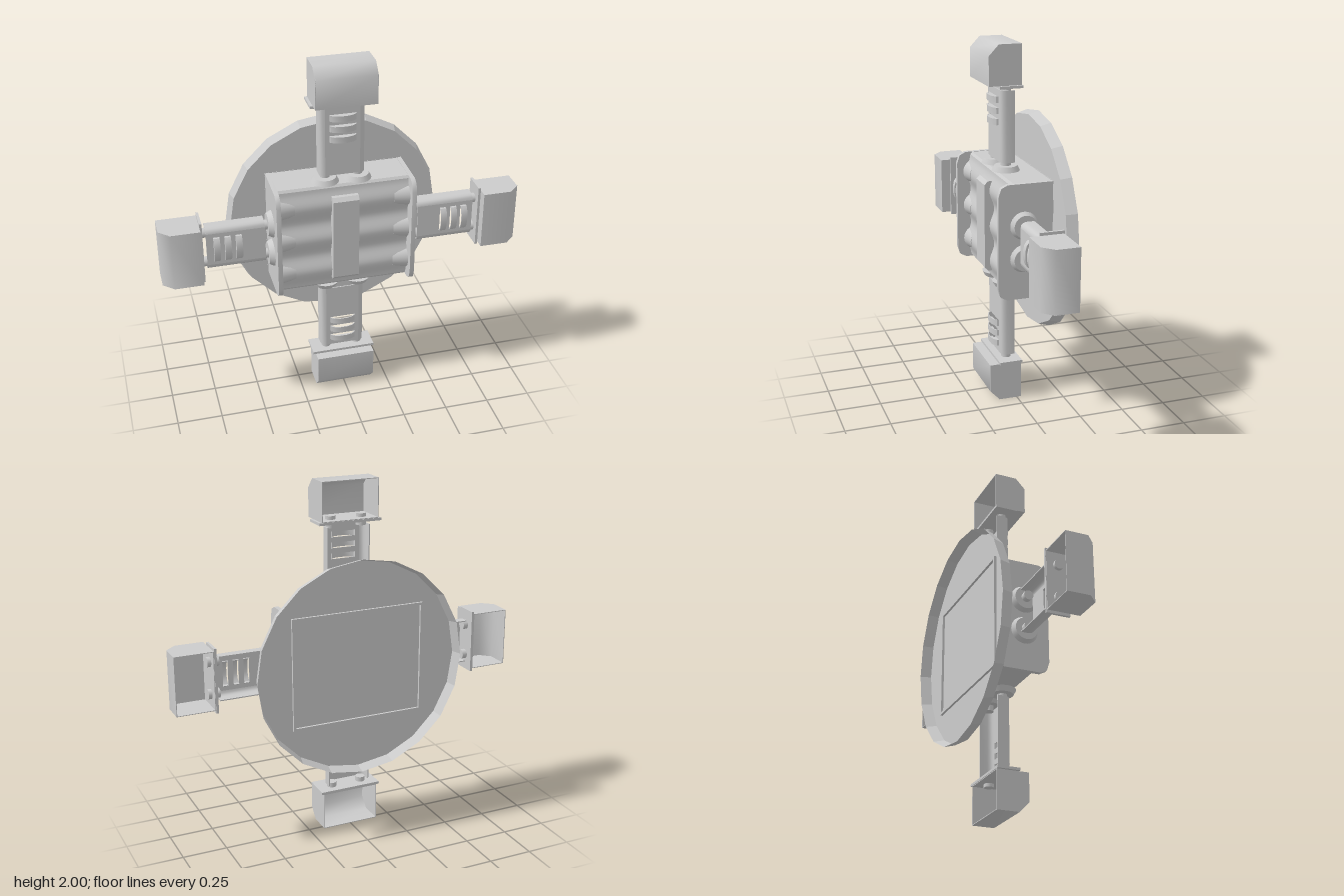
import * as THREE from 'three';
import { toCreasedNormals } from 'three/addons/utils/BufferGeometryUtils.js';

const material = new THREE.MeshStandardMaterial({ color: 0xcccccc, side: THREE.DoubleSide });

function add(parent, name, geometry, x = 0, y = 0, z = 0) {
  const mesh = new THREE.Mesh(geometry, material);
  mesh.name = name;
  mesh.position.set(x, y, z);
  parent.add(mesh);
  return mesh;
}

const shapeOf = (points) => new THREE.Shape(points.map(([x, y]) => new THREE.Vector2(x, y)));

// Extrudes a (z, y) profile along x, centred on x = 0
function sideExtrude(points, width, crease = 0.5) {
  const g = new THREE.ExtrudeGeometry(shapeOf(points), { depth: width, bevelEnabled: false });
  g.translate(0, 0, -width / 2).rotateY(-Math.PI / 2);
  return toCreasedNormals(g, crease);
}

// Extrudes an (x, z) profile along y, from y0 to y1
function upExtrude(points, y0, y1, crease = 0.6) {
  const g = new THREE.ExtrudeGeometry(shapeOf(points), { depth: y1 - y0, bevelEnabled: false });
  g.rotateX(Math.PI / 2).translate(0, y1, 0);
  return toCreasedNormals(g, crease);
}

function rectPath(w, h, y) {
  return new THREE.Path([[-w, -h], [w, -h], [w, h], [-w, h]].map(([a, b]) => new THREE.Vector2(a / 2, y + b / 2)));
}

// Shallow twenty-sided dish, open at the back
function addDish(parent) {
  const rim = new THREE.CylinderGeometry(0.59, 0.607, 0.06, 20, 1, true).rotateX(Math.PI / 2);
  rim.rotateZ(Math.PI / 2);
  add(parent, 'dishRim', toCreasedNormals(rim, 0.1), 0, 0, -0.15);
  add(parent, 'dishFloor', new THREE.CircleGeometry(0.59, 20), 0, 0, -0.12);
  // Thin raised frame on the dish floor
  for (const s of [-1, 1]) {
    add(parent, 'panelFrame', new THREE.BoxGeometry(0.776, 0.014, 0.014), 0, s * 0.309, -0.126);
    add(parent, 'panelFrame', new THREE.BoxGeometry(0.014, 0.63, 0.014), s * 0.381, 0, -0.126);
  }
}

function addBody(parent) {
  // Core with three rounded cells across the front
  const core = [[-0.12, -0.313], [0.09, -0.313]];
  for (let i = 0; i <= 36; i++) {
    const y = -0.3 + i / 60;
    core.push([0.114 + 0.013 * Math.cos(y * Math.PI * 10), y]);
  }
  core.push([0.09, 0.313], [-0.12, 0.313]);
  add(parent, 'body', sideExtrude(core, 0.74));

  // Chamfered end cheeks
  const cheek = [
    [-0.12, -0.315], [0.13, -0.315], [0.165, -0.297], [0.18, -0.25],
    [0.18, 0.25], [0.165, 0.297], [0.13, 0.315], [-0.12, 0.315],
  ];
  for (const s of [-1, 1]) {
    add(parent, 'endCheek', sideExtrude(cheek, 0.025, 0.8), s * 0.3725);
    // Flared collars at the ends of the cells
    for (const y of [-0.2, 0, 0.2]) {
      const collar = new THREE.CylinderGeometry(0.07, 0.055, 0.09, 24).rotateZ(-s * Math.PI / 2);
      add(parent, 'cellCollar', collar, s * 0.32, y, 0.075);
    }
  }

  // Vertical strap with ends bent back
  const strap = [[0.08, -0.255], [0.135, -0.255], [0.155, -0.235], [0.155, 0.235], [0.135, 0.255], [0.08, 0.255]];
  add(parent, 'strap', sideExtrude(strap, 0.145));
}

// One arm pointing along +y, starting at the given distance from the centre
function createArm(edge) {
  const arm = new THREE.Group();
  const start = edge + 0.045, end = 0.75;

  // Bosses and connecting pegs
  for (const x of [-0.09, 0.09]) {
    add(arm, 'boss', new THREE.CylinderGeometry(0.062, 0.076, 0.028, 24), x, edge + 0.014, 0.04);
    add(arm, 'innerPeg', new THREE.CylinderGeometry(0.027, 0.027, 0.05, 16), x, edge + 0.035, 0.04);
    add(arm, 'outerPeg', new THREE.CylinderGeometry(0.027, 0.027, 0.065, 16), x, 0.775, 0.04);
  }

  // Arm shell, open at the back: slotted front plate and rounded sides
  const ribs = [0.575, 0.635, 0.695];
  const plate = shapeOf([[-0.095, start], [0.095, start], [0.095, end], [-0.095, end]]);
  for (const y of ribs) plate.holes.push(rectPath(0.14, 0.03, y));
  add(arm, 'armPlate', new THREE.ExtrudeGeometry(plate, { depth: 0.006, bevelEnabled: false }), 0, 0, 0.069);
  for (const s of [-1, 1]) {
    const wall = [
      [0.095, 0.075], [0.11, 0.072], [0.12, 0.062], [0.125, 0.045], [0.125, 0],
      [0.119, 0], [0.119, 0.043], [0.115, 0.058], [0.107, 0.066], [0.095, 0.069],
    ];
    add(arm, 'armSide', upExtrude(wall.map(([x, z]) => [s * x, z]), start, end));
  }

  // Arched louvre hoods over the slots
  const arch = [[-0.073, 0.07], [-0.07, 0.086], [-0.05, 0.1], [-0.02, 0.107], [0.02, 0.107], [0.05, 0.1], [0.07, 0.086], [0.073, 0.07]];
  const under = arch.map(([x, z]) => [x * 0.94, z - 0.005]).reverse();
  for (const y of ribs) {
    add(arm, 'louvre', upExtrude([...arch, ...under], y - 0.017, y + 0.017));
    add(arm, 'louvreFace', new THREE.ShapeGeometry(shapeOf(arch)).rotateX(Math.PI / 2), 0, y + 0.016, 0);
  }

  // Flange plate and hollow end pod, open at the back
  add(arm, 'flangePlate', new THREE.BoxGeometry(0.36, 0.014, 0.13), 0, 0.777, 0.038);
  const outer = [[-0.024, 0.784], [0.157, 0.784], [0.157, 0.942], [0.102, 1], [-0.024, 1]];
  const inner = [[-0.024, 0.996], [0.1, 0.996], [0.153, 0.94], [0.153, 0.788], [-0.024, 0.788]];
  add(arm, 'podShell', sideExtrude([...outer, ...inner], 0.33, 0.9));
  for (const s of [-1, 1]) add(arm, 'podSide', sideExtrude(outer, 0.004), s * 0.163);
  return arm;
}

export function createModel() {
  const model = new THREE.Group();
  model.name = 'fourArmedDevice';
  const hub = new THREE.Group();
  hub.name = 'hub';
  hub.position.y = 1;
  model.add(hub);
  addDish(hub);
  addBody(hub);
  ['topArm', 'leftArm', 'bottomArm', 'rightArm'].forEach((name, i) => {
    const arm = createArm(i % 2 ? 0.385 : 0.315);
    arm.name = name;
    arm.rotation.z = -i * Math.PI / 2;
    hub.add(arm);
  });
  return model;
}
